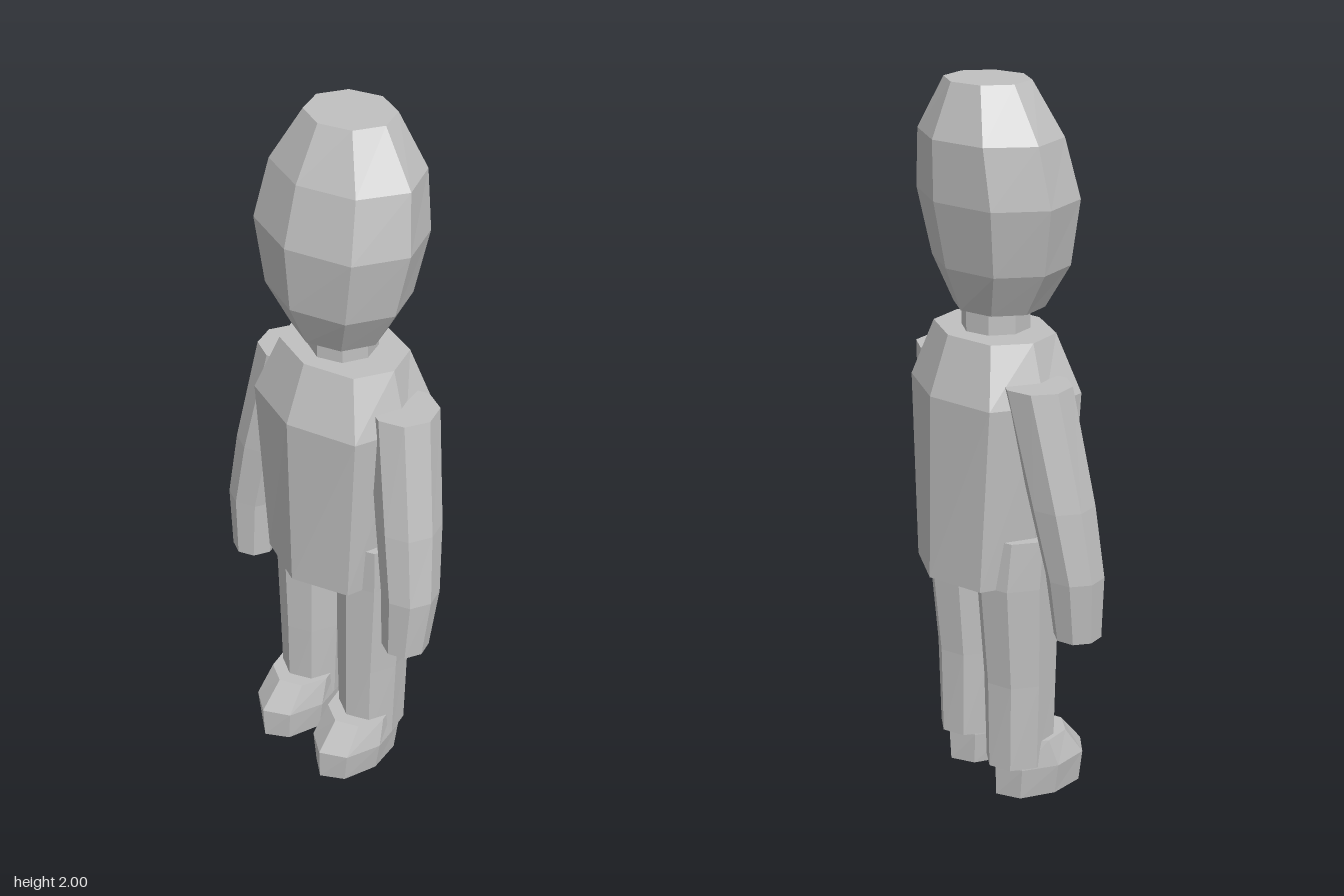
import * as THREE from 'three';

const SIDES = 8;

// Closed eight-sided loft; rings run bottom to top: [y, centreX, centreZ, radiusX, radiusZ, diagonalX]
// diagonalX sets how far out the four corner points sit (a regular octagon is 0.71)
function loft(rings, mirror = 1) {
  const pos = [];
  const point = (ring, i) => {
    const [y, cx, cz, rx, rz, diagonal = 0.71] = ring;
    const a = ((i % SIDES) / SIDES) * Math.PI * 2;
    const corner = i % 2 === 1;
    const x = corner ? Math.sign(Math.cos(a)) * diagonal : Math.cos(a);
    return [mirror * cx + x * rx, y, cz + Math.sin(a) * rz];
  };
  const tri = (a, b, c) => pos.push(...a, ...b, ...c);
  const first = rings[0], last = rings[rings.length - 1];
  for (let i = 0; i < SIDES; i++) {
    for (let r = 0; r < rings.length - 1; r++) {
      const a = point(rings[r], i), b = point(rings[r], i + 1);
      const c = point(rings[r + 1], i), d = point(rings[r + 1], i + 1);
      tri(a, c, b);
      tri(c, d, b);
    }
    // Flat end caps
    tri([mirror * first[1], first[0], first[2]], point(first, i), point(first, i + 1));
    tri([mirror * last[1], last[0], last[2]], point(last, i + 1), point(last, i));
  }
  const geometry = new THREE.BufferGeometry();
  geometry.setAttribute('position', new THREE.Float32BufferAttribute(pos, 3));
  geometry.computeVertexNormals();
  return geometry;
}

export function createModel() {
  const model = new THREE.Group();
  model.name = 'figure';
  const grey = new THREE.MeshStandardMaterial({ color: 0xc0c0c0, flatShading: true });
  grey.name = 'plain grey';

  const add = (name, rings, mirror) => {
    const mesh = new THREE.Mesh(loft(rings, mirror), grey);
    mesh.name = name;
    model.add(mesh);
  };

  // Head, slightly tilted forward at the chin
  add('head', [
    [1.40, 0, 0.015, 0.13, 0.12],
    [1.52, 0, 0.02, 0.205, 0.17, 0.73],
    [1.70, 0, 0.01, 0.245, 0.195, 0.73],
    [1.86, 0, -0.012, 0.22, 0.175, 0.71],
    [2.00, 0, -0.02, 0.123, 0.11],
  ]);

  add('neck', [
    [1.30, 0, 0.005, 0.093, 0.093],
    [1.43, 0, 0.005, 0.093, 0.093],
  ]);

  // Torso, narrowing at the hem so the hips stand out at the sides
  add('torso', [
    [0.66, 0, -0.005, 0.19, 0.205, 0.84],
    [1.18, 0, 0.003, 0.235, 0.205, 0.83],
    [1.34, 0, 0, 0.185, 0.145, 0.76],
  ]);

  // Paired limbs
  for (const [side, mirror] of [['left', 1], ['right', -1]]) {
    add(`${side}Arm`, [
      [0.54, 0.31, 0.065, 0.063, 0.066],
      [0.72, 0.312, 0.052, 0.078, 0.08],
      [0.92, 0.28, 0.03, 0.087, 0.09],
      [1.24, 0.215, -0.008, 0.095, 0.093],
    ], mirror);

    add(`${side}Leg`, [
      [0.10, 0.122, 0.006, 0.085, 0.102],
      [0.36, 0.122, 0.005, 0.095, 0.105],
      [0.66, 0.126, -0.006, 0.106, 0.12],
      [0.80, 0.13, 0.002, 0.106, 0.115],
    ], mirror);

    add(`${side}Foot`, [
      [0, 0.12, 0.07, 0.085, 0.142],
      [0.095, 0.122, 0.07, 0.1, 0.146],
      [0.177, 0.12, 0.045, 0.09, 0.105],
    ], mirror);
  }
  return model;
}
